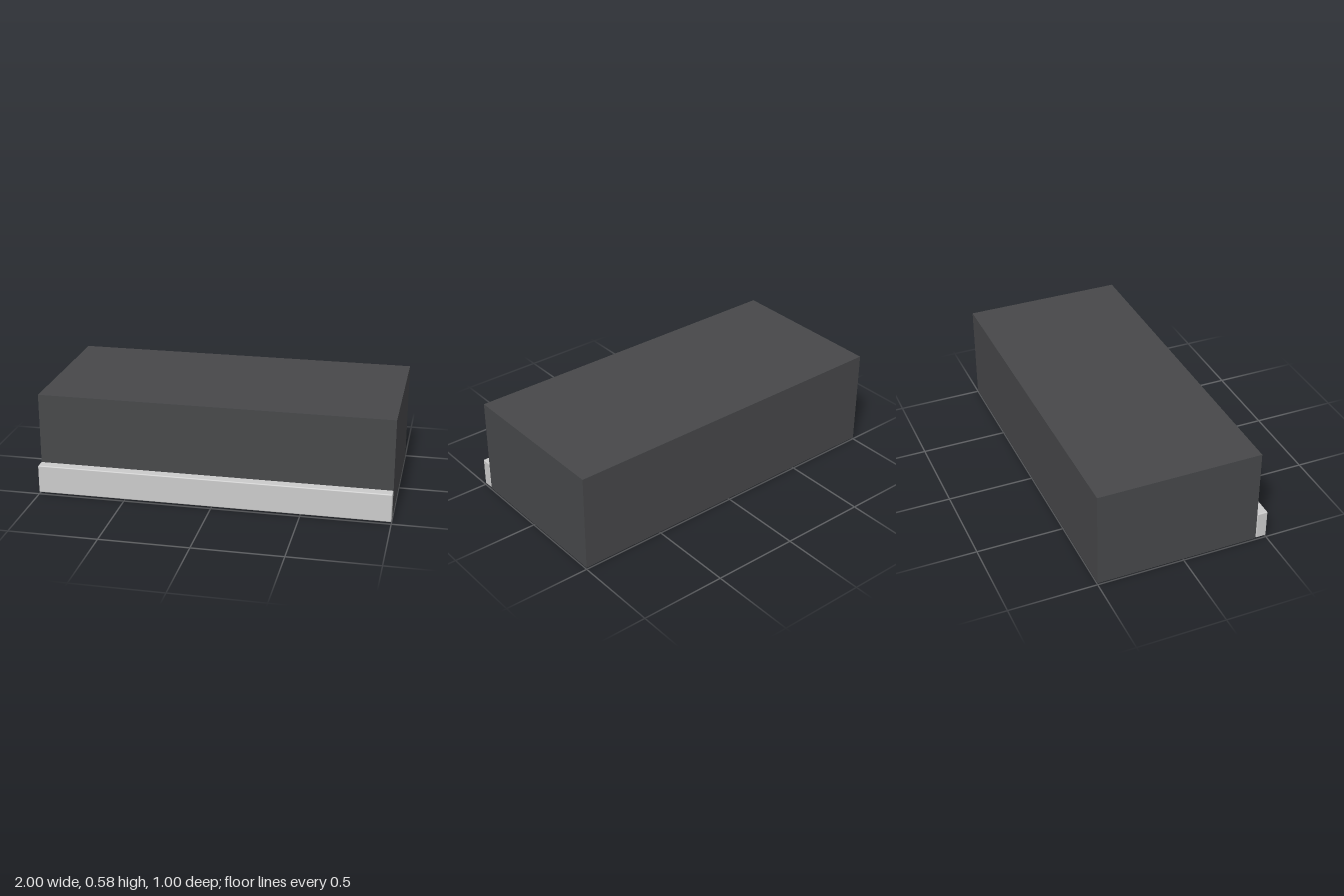
import * as THREE from 'three';
import { RoundedBoxGeometry } from 'three/addons/geometries/RoundedBoxGeometry.js';

export function createModel() {
  const model = new THREE.Group();

  const add = (name, geometry, color, y, z) => {
    const mesh = new THREE.Mesh(geometry, new THREE.MeshStandardMaterial({ color }));
    mesh.name = name;
    mesh.position.set(0, y, z);
    model.add(mesh);
  };

  // Main cabinet block
  add('body', new THREE.BoxGeometry(2, 0.566, 0.935), 0x47484a, 0.293, -0.0325);

  // Thin inset plinth underneath
  add('basePlate', new THREE.BoxGeometry(1.87, 0.01, 0.87), 0x2c2c2d, 0.005, -0.0325);

  // Softly rounded rail along the lower front
  add('frontRail', new RoundedBoxGeometry(2, 0.163, 0.062, 2, 0.006), 0xcccccc, 0.0915, 0.469);

  return model;
}
